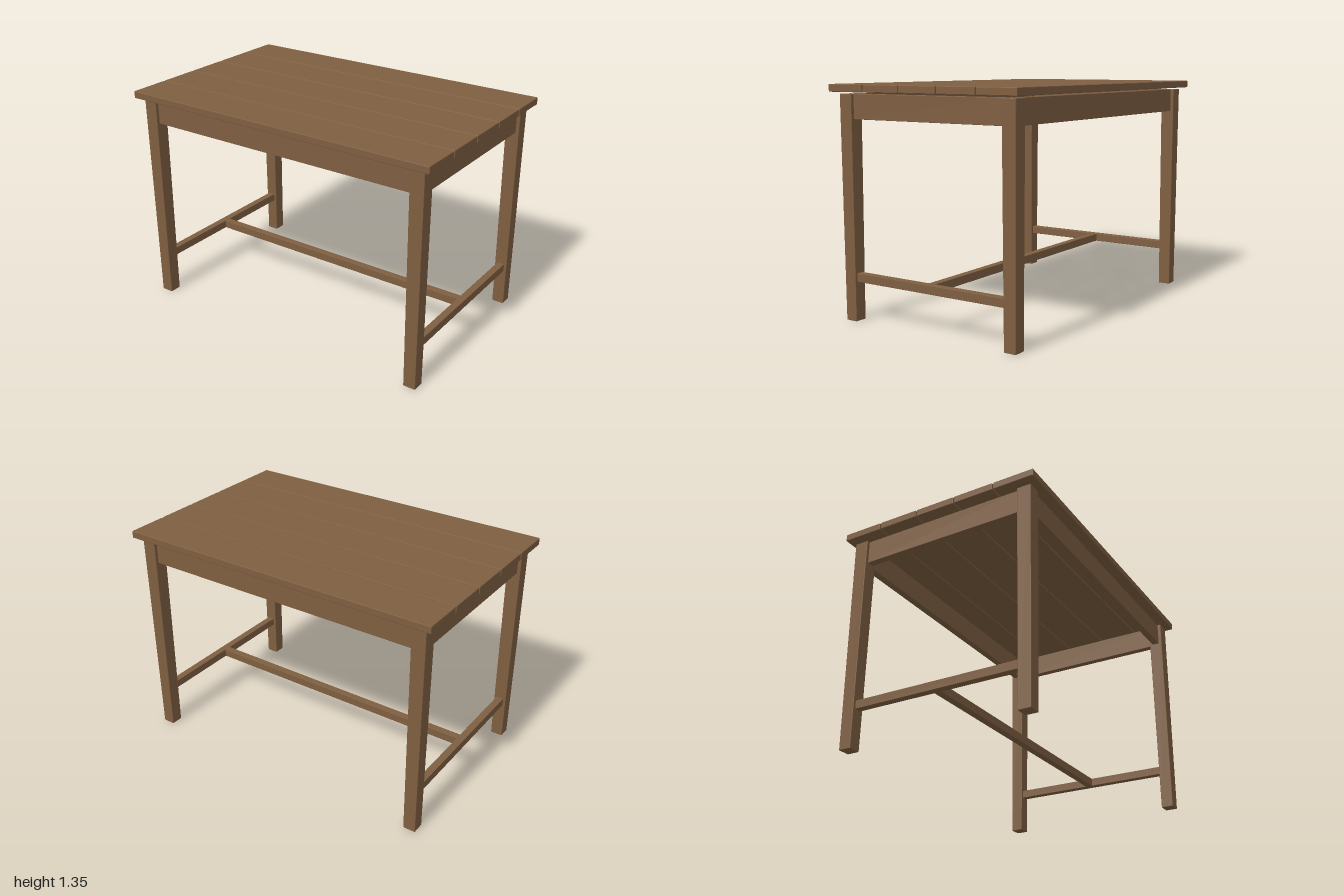
import * as THREE from 'three';
import { RoundedBoxGeometry } from 'three/addons/geometries/RoundedBoxGeometry.js';

const wood = new THREE.MeshStandardMaterial({ color: 0x7f5f41, flatShading: true });

export function createModel() {
  const table = new THREE.Group();
  table.name = 'table';

  // Timber with small chamfered edges
  function board(name, w, h, d, x, y, z, bevel = 0.004) {
    const mesh = new THREE.Mesh(new RoundedBoxGeometry(w, h, d, 1, bevel), wood);
    mesh.name = name;
    mesh.position.set(x, y, z);
    table.add(mesh);
    return mesh;
  }

  const legX = 0.912, legZ = 0.55, legH = 1.296, legTop = 0.086, legFoot = 0.075;
  const rail = 0.044;

  // Five top planks with narrow gaps
  for (let i = -2; i <= 2; i++) {
    board('topPlank', 2, 0.043, 0.248, 0, 1.3285, i * 0.254);
  }

  // Four legs tapering toward the foot
  for (const sx of [-1, 1]) {
    for (const sz of [-1, 1]) {
      const leg = board('leg', legTop, legH, legTop, sx * legX, legH / 2, sz * legZ);
      const p = leg.geometry.attributes.position;
      for (let i = 0; i < p.count; i++) {
        const t = p.getY(i) / legH + 0.5;
        const s = THREE.MathUtils.lerp(legFoot / legTop, 1, t);
        p.setXYZ(i, p.getX(i) * s, p.getY(i), p.getZ(i) * s);
      }
      leg.geometry.computeVertexNormals();
    }
  }

  // Aprons under the top, and side stretchers, ending inside the legs
  const apronH = 0.141, apronY = 1.2255, stretcherH = 0.05, stretcherY = 0.255;
  for (const s of [-1, 1]) {
    board('longApron', 2 * legX - 0.07, apronH, rail, 0, apronY, s * legZ, 0.002);
    board('sideApron', rail, apronH, 2 * legZ - 0.07, s * legX, apronY, 0, 0.002);
    board('sideStretcher', rail, stretcherH, 2 * legZ - 0.06, s * legX, stretcherY, 0, 0.002);
  }

  // Long stretcher joining the two side stretchers
  board('centreStretcher', 2 * legX - rail + 0.006, stretcherH, rail, 0, stretcherY, 0, 0.002);

  return table;
}
